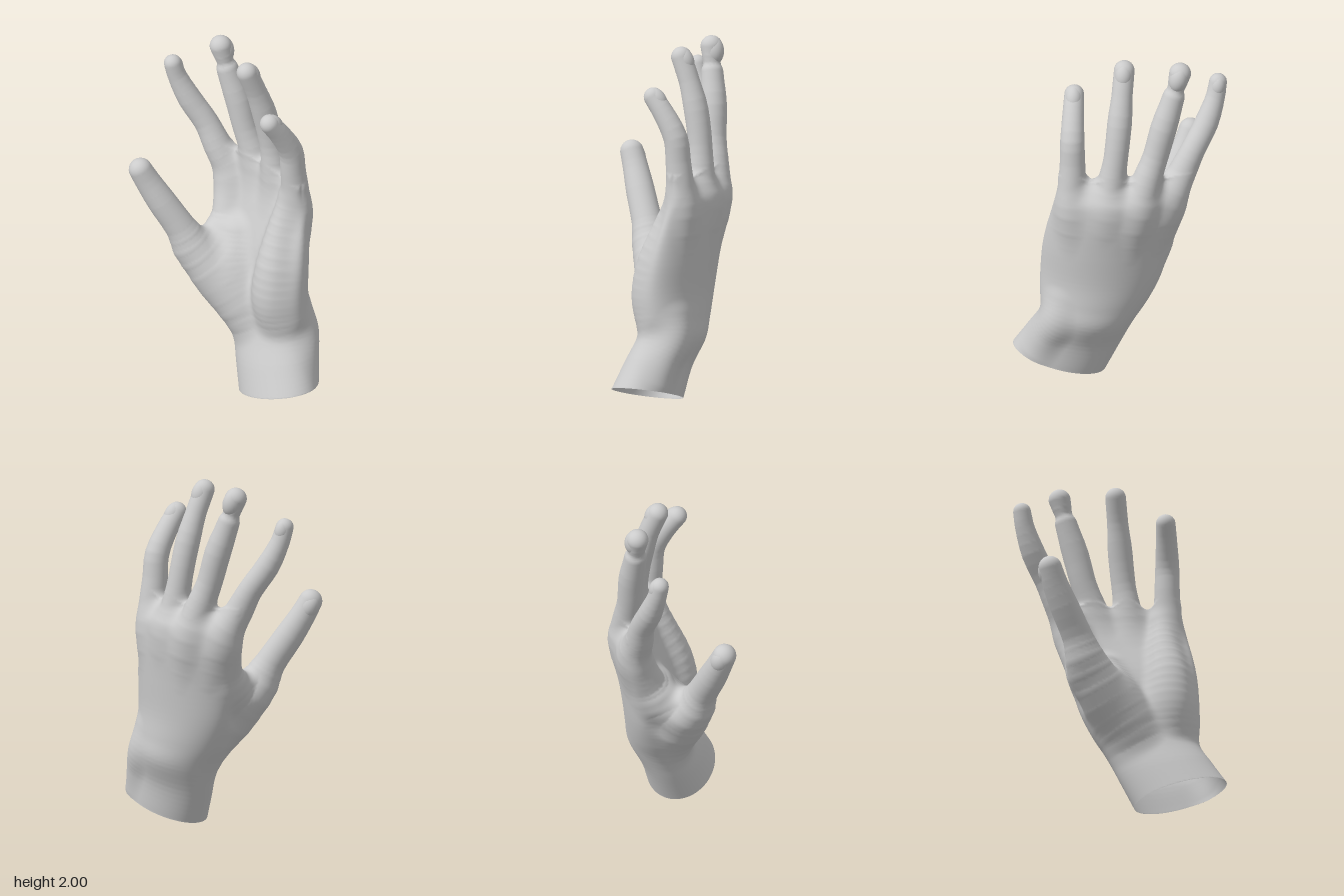
import * as THREE from 'three';

const material = new THREE.MeshStandardMaterial({ color: 0xcccccc, roughness: 0.8, side: THREE.DoubleSide });
const V = (x, y, z) => new THREE.Vector3(x, y, z);
const spline = (points) => new THREE.CatmullRomCurve3(points);
const lerp = THREE.MathUtils.lerp;

// Fingers and thumb, from inside the palm to the tip: [x, y, z, radius]; back is where the nail faces
const DIGITS = {
  indexFinger: { blend: 0.05, back: V(0.9, 0.25, -0.35), points: [
    [0.21, 0.88, -0.2, 0.05], [0.19, 1.14, -0.295, 0.093], [0.135, 1.29, -0.362, 0.08],
    [0.095, 1.42, -0.42, 0.069], [0.025, 1.56, -0.487, 0.067],
    [-0.03, 1.70, -0.53, 0.054], [-0.053, 1.784, -0.542, 0.05]] },
  middleFinger: { blend: 0.05, back: V(0.95, 0.3, -0.15), points: [
    [0.28, 0.85, -0.07, 0.05], [0.30, 1.13, -0.14, 0.095], [0.275, 1.29, -0.18, 0.084],
    [0.24, 1.45, -0.23, 0.072], [0.215, 1.62, -0.272, 0.074],
    [0.175, 1.80, -0.322, 0.062], [0.15, 1.938, -0.355, 0.062]] },
  ringFinger: { blend: 0.05, back: V(1, 0.3, 0), points: [
    [0.28, 0.85, 0.08, 0.05], [0.315, 1.12, 0.03, 0.095], [0.30, 1.29, 0.01, 0.08],
    [0.285, 1.45, -0.012, 0.068], [0.25, 1.64, -0.027, 0.069],
    [0.20, 1.80, -0.035, 0.059], [0.145, 1.932, -0.04, 0.058]] },
  littleFinger: { blend: 0.05, back: V(0.95, 0.4, 0), points: [
    [0.28, 0.82, 0.22, 0.05], [0.315, 1.10, 0.23, 0.088], [0.305, 1.25, 0.233, 0.078],
    [0.29, 1.40, 0.232, 0.071], [0.275, 1.53, 0.235, 0.068],
    [0.20, 1.665, 0.24, 0.06], [0.135, 1.752, 0.243, 0.055]] },
  thumb: { blend: 0.09, back: V(0.15, 0.2, -1), points: [
    [0.14, 0.34, 0.10, 0.09], [0.07, 0.47, 0.03, 0.125], [-0.005, 0.62, -0.07, 0.143],
    [-0.12, 0.80, -0.165, 0.112], [-0.195, 0.95, -0.22, 0.084], [-0.265, 1.08, -0.275, 0.081],
    [-0.33, 1.21, -0.325, 0.071], [-0.365, 1.285, -0.346, 0.066]] },
};

// Web between thumb and index finger, the fleshy pads of the palm and the bone at the wrist
const PADS = {
  thumbWeb: { blend: 0.07, points: [
    [-0.14, 0.80, -0.19, 0.05], [-0.06, 0.75, -0.185, 0.075], [0.03, 0.77, -0.18, 0.085],
    [0.11, 0.90, -0.215, 0.085], [0.16, 1.08, -0.28, 0.075]] },
  thumbBall: { blend: 0.08, points: [
    [0.15, 0.36, 0.12, 0.09], [0.1, 0.53, 0.05, 0.12], [0.07, 0.70, -0.03, 0.11], [0.12, 0.86, -0.1, 0.08]] },
  littleFingerSide: { blend: 0.05, points: [
    [0.22, 0.42, 0.28, 0.1], [0.18, 0.52, 0.27, 0.13], [0.165, 0.63, 0.265, 0.137],
    [0.175, 0.80, 0.255, 0.122], [0.23, 1.02, 0.225, 0.09], [0.28, 1.2, 0.21, 0.06]] },
  wristBone: { blend: 0.05, points: [
    [0.25, 0.17, 0.41, 0.085], [0.275, 0.28, 0.37, 0.09], [0.295, 0.4, 0.31, 0.1], [0.27, 0.52, 0.28, 0.09]] },
};

// Palm and wrist: thumb edge, little-finger edge, [half thickness, bow that cups the hand]
const PALM = [
  [[0.10, 0.00, 0.07], [0.19, 0.155, 0.58], [0.19, 0]],
  [[0.11, 0.17, -0.01], [0.22, 0.29, 0.495], [0.178, 0]],
  [[0.13, 0.34, -0.09], [0.25, 0.43, 0.415], [0.18, 0.02]],
  [[0.14, 0.47, -0.17], [0.24, 0.53, 0.42], [0.165, 0.03]],
  [[0.14, 0.63, -0.245], [0.23, 0.65, 0.42], [0.155, 0.04]],
  [[0.15, 0.85, -0.305], [0.25, 0.85, 0.405], [0.14, 0.055]],
  [[0.16, 1.07, -0.375], [0.29, 1.07, 0.355], [0.112, 0.075]],
  [[0.16, 1.18, -0.38], [0.31, 1.18, 0.315], [0.09, 0.08]],
  [[0.17, 1.25, -0.35], [0.30, 1.25, 0.28], [0.06, 0.065]],
  [[0.18, 1.29, -0.32], [0.29, 1.30, 0.25], [0.03, 0.05]],
];

const pathOf = (points) => spline(points.map((p) => V(p[0], p[1], p[2])));

// Distance to a round tapering limb, as a chain of cones along its path
function limbField(points) {
  const path = pathOf(points), radii = spline(points.map((p) => V(p[3], 0, 0)));
  const steps = 18, cones = [];
  for (let i = 0; i < steps; i++) {
    const a = path.getPoint(i / steps), d = path.getPoint((i + 1) / steps).sub(a);
    const r = radii.getPoint(i / steps).x;
    cones.push({ a, d, r, dr: radii.getPoint((i + 1) / steps).x - r, l2: d.lengthSq() });
  }
  return (p) => {
    let best = Infinity;
    for (const { a, d, r, dr, l2 } of cones) {
      const x = p.x - a.x, y = p.y - a.y, z = p.z - a.z;
      const h = Math.min(1, Math.max(0, (x * d.x + y * d.y + z * d.z) / l2));
      const ex = x - h * d.x, ey = y - h * d.y, ez = z - h * d.z;
      best = Math.min(best, Math.sqrt(ex * ex + ey * ey + ez * ez) - r - h * dr);
    }
    return best;
  };
}

// Cross-sections of the palm: centre c, axes W (across), D (to the back), N (up the arm)
function palmSections() {
  const edgeA = spline(PALM.map((s) => V(...s[0]))), edgeB = spline(PALM.map((s) => V(...s[1])));
  const depth = spline(PALM.map((s) => V(...s[2], 0)));
  return Array.from({ length: 49 }, (_, i) => {
    const a = edgeA.getPoint(i / 48), b = edgeB.getPoint(i / 48), { x: thick, y: bow } = depth.getPoint(i / 48);
    const c = a.clone().add(b).multiplyScalar(0.5), W = b.sub(a).normalize();
    const D = V(0, 1, 0).cross(W).normalize();
    return { c, W, D, N: W.clone().cross(D), half: c.distanceTo(a), thick, bow };
  });
}

// Approximate distance to the bowed ellipses swept through the sections
function palmField(sections) {
  const q = V(0, 0, 0), last = sections.length - 1;
  const height = (s, p) => q.subVectors(p, s.c).dot(s.N);
  const ellipse = (s, p) => {
    q.subVectors(p, s.c);
    const u = q.dot(s.W) / s.half;
    const v = (q.dot(s.D) - s.bow * Math.max(0, 1 - u * u)) / s.thick;
    const k = Math.hypot(u, v);
    return k * (k - 1) / (Math.hypot(u / s.half, v / s.thick) + 1e-6);
  };
  return (p) => {
    const above = height(sections[last], p);
    if (above > 0) return Math.max(ellipse(sections[last], p), above);
    if (height(sections[0], p) < 0) return ellipse(sections[0], p);
    let lo = 0, hi = last;
    while (hi - lo > 1) {
      const mid = (lo + hi) >> 1;
      if (height(sections[mid], p) > 0) lo = mid; else hi = mid;
    }
    const below = height(sections[lo], p), over = height(sections[hi], p);
    return lerp(ellipse(sections[lo], p), ellipse(sections[hi], p), below / (below - over));
  };
}

// One continuous skin wrapped over all the parts, with soft joins, open at the wrist
function skin() {
  const sections = palmSections(), palm = palmField(sections), wrist = sections[0];
  const limbs = [...Object.values(PADS), ...Object.values(DIGITS)]
    .map(({ points, blend }) => ({ field: limbField(points), blend }));
  const field = (p) => limbs.reduce((d, limb) => {
    const e = limb.field(p), h = Math.max(limb.blend - Math.abs(d - e), 0);
    return Math.min(d, e) - h * h / limb.blend / 4;
  }, palm(p));
  const step = 0.006, axes = [V(step, 0, 0), V(0, step, 0), V(0, 0, step)];
  const slope = (p) => V(...axes.map((a) => (field(p.clone().add(a)) - field(p.clone().sub(a))) / step / 2));

  // Sample the field on a grid
  const cell = 0.0135, min = V(-0.48, -0.06, -0.64), n = [72, 158, 96];
  const stride = [1, n[0], n[0] * n[1]], values = new Float32Array(n[0] * n[1] * n[2]);
  const p = V(0, 0, 0), cells = [];
  for (let k = 0, c = 0; k < n[2]; k++) for (let j = 0; j < n[1]; j++) for (let i = 0; i < n[0]; i++, c++) {
    values[c] = field(p.set(i, j, k).multiplyScalar(cell).add(min));
    if (i && j && k && i < n[0] - 1 && j < n[1] - 1 && k < n[2] - 1) cells.push([c, i, j, k]);
  }

  // One vertex per cell the surface passes through; those past the wrist move to its rim
  const corner = (b) => (b & 1) * stride[0] + (b >> 1 & 1) * stride[1] + (b >> 2) * stride[2];
  const vertices = [], normals = [], cut = [], vertexOf = new Int32Array(values.length).fill(-1);
  for (const [c, ...at] of cells) {
    const sum = V(0, 0, 0);
    let count = 0;
    for (let b = 0; b < 8; b++) for (let d = 0; d < 3; d++) {
      if (b >> d & 1) continue;
      const f = values[c + corner(b)], g = values[c + corner(b | 1 << d)];
      if (f < 0 === g < 0) continue;
      const cross = [b & 1, b >> 1 & 1, b >> 2];
      cross[d] = f / (f - g);
      sum.add(V(...cross));
      count++;
    }
    if (!count) continue;
    const v = sum.divideScalar(count).add(V(...at)).multiplyScalar(cell).add(min);
    const normal = slope(v);
    const shift = -field(v) / Math.max(normal.lengthSq(), 0.3);
    v.addScaledVector(normal, THREE.MathUtils.clamp(shift, -cell / 3, cell / 3));
    normals.push(...normal.normalize());
    const side = v.clone().sub(wrist.c).dot(wrist.N);
    if (side < 0) v.addScaledVector(wrist.N, -side);
    vertexOf[c] = vertices.length;
    vertices.push(v);
    cut.push(side < 0);
  }

  // A quad around every grid edge that crosses the surface
  const index = [];
  for (const [c] of cells) for (let d = 0; d < 3; d++) {
    const inside = values[c] < 0, u = stride[(d + 1) % 3], w = stride[(d + 2) % 3];
    if (inside === values[c + stride[d]] < 0) continue;
    const quad = [c, c - u, c - u - w, c - w].map((i) => vertexOf[i]);
    if (quad.includes(-1) || quad.every((i) => cut[i])) continue;
    if (!inside) quad.reverse();
    index.push(quad[0], quad[1], quad[2], quad[0], quad[2], quad[3]);
  }
  const geometry = new THREE.BufferGeometry().setFromPoints(vertices);
  geometry.setAttribute('normal', new THREE.Float32BufferAttribute(normals, 3));
  geometry.setIndex(index);
  return new THREE.Mesh(geometry, material);
}

// Nail: a long shell rising slightly out of the back of the fingertip
function nail({ points, back }) {
  const path = pathOf(points), r = points.at(-1)[3], end = path.getPoint(1);
  let t = 1;
  while (path.getPoint(t).distanceTo(end) < r * 0.4) t -= 0.005;
  const T = path.getTangent(t), D = back.clone().addScaledVector(T, -back.dot(T)).normalize();
  const mesh = new THREE.Mesh(new THREE.SphereGeometry(1, 28, 20), material);
  mesh.quaternion.setFromRotationMatrix(new THREE.Matrix4().makeBasis(T.clone().cross(D), T, D));
  mesh.scale.set(r * 0.88, r * 1.3, r * 0.95);
  mesh.position.copy(path.getPoint(t)).addScaledVector(D, r * 0.2);
  return mesh;
}

export function createModel() {
  const hand = new THREE.Group();
  hand.name = 'hand';
  const body = skin();
  body.name = 'skin';
  hand.add(body);
  for (const [name, digit] of Object.entries(DIGITS)) {
    const mesh = nail(digit);
    mesh.name = name + 'Nail';
    hand.add(mesh);
  }
  return hand;
}
